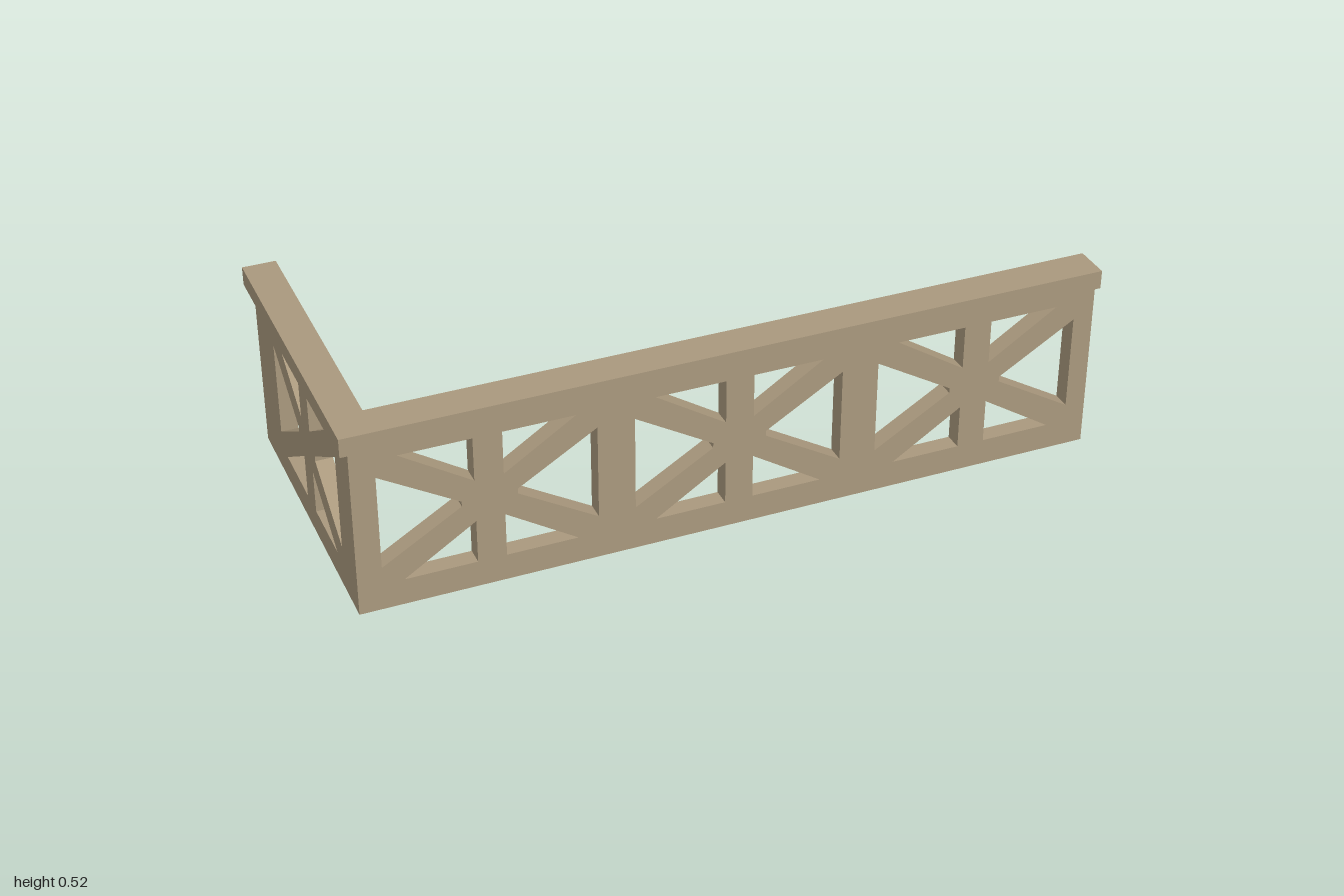
import * as THREE from 'three';

const PANEL_H = 0.475, TOP = 0.525, MID = 0.251;

const polygon = (Type, pts) => new Type(pts.map(([x, y]) => new THREE.Vector2(x, y)));

// Six openings of one bay, leaving a centre post and two crossing diagonals.
function bayHoles(centre, half) {
  const holes = [];
  for (const sx of [-1, 1]) {
    const add = (pts) => holes.push(polygon(THREE.Path,
      pts.map(([x, y]) => [centre + sx * x, MID + y])));
    add([[half, -0.13], [half, 0.13], [0.071, 0.007], [0.071, -0.007]]);
    for (const sy of [-1, 1]) {
      add([[0.037, sy * 0.179], [0.223, sy * 0.179], [0.037, sy * 0.059]]);
    }
  }
  return holes;
}

// Upright panel from u0 to u1, pierced by bays.
function panelGeometry(u0, u1, centres, half, depth) {
  const shape = polygon(THREE.Shape, [[u0, 0], [u1, 0], [u1, PANEL_H], [u0, PANEL_H]]);
  for (const c of centres) shape.holes.push(...bayHoles(c, half));
  return new THREE.ExtrudeGeometry(shape, { depth, bevelEnabled: false });
}

export function createModel() {
  const group = new THREE.Group();
  group.name = 'cornerRailing';
  const wood = new THREE.MeshStandardMaterial({ color: 0xa9987d });
  wood.name = 'tan wood';

  const add = (name, geometry) => {
    const mesh = new THREE.Mesh(geometry, wood);
    mesh.name = name;
    group.add(mesh);
    return mesh;
  };

  // Long front panel with three bays
  const front = add('frontPanel', panelGeometry(-0.975, 1, [-0.635, 0.016, 0.668], 0.277, 0.048));
  front.position.z = 0.352;

  // Short side panel with one bay, running back from the corner
  const side = add('sidePanel', panelGeometry(-0.425, 0.352, [0.01], 0.271, 0.045));
  side.rotation.y = -Math.PI / 2;
  side.position.x = -0.93;

  // L-shaped handrail overhanging both panels
  const outline = polygon(THREE.Shape, [
    [-1, -0.425], [1, -0.425], [1, -0.327], [-0.912, -0.327], [-0.912, 0.425], [-1, 0.425],
  ]);
  const rail = add('handrail', new THREE.ExtrudeGeometry(outline,
    { depth: TOP - PANEL_H, bevelEnabled: false }));
  rail.rotation.x = -Math.PI / 2;
  rail.position.y = PANEL_H;

  return group;
}
